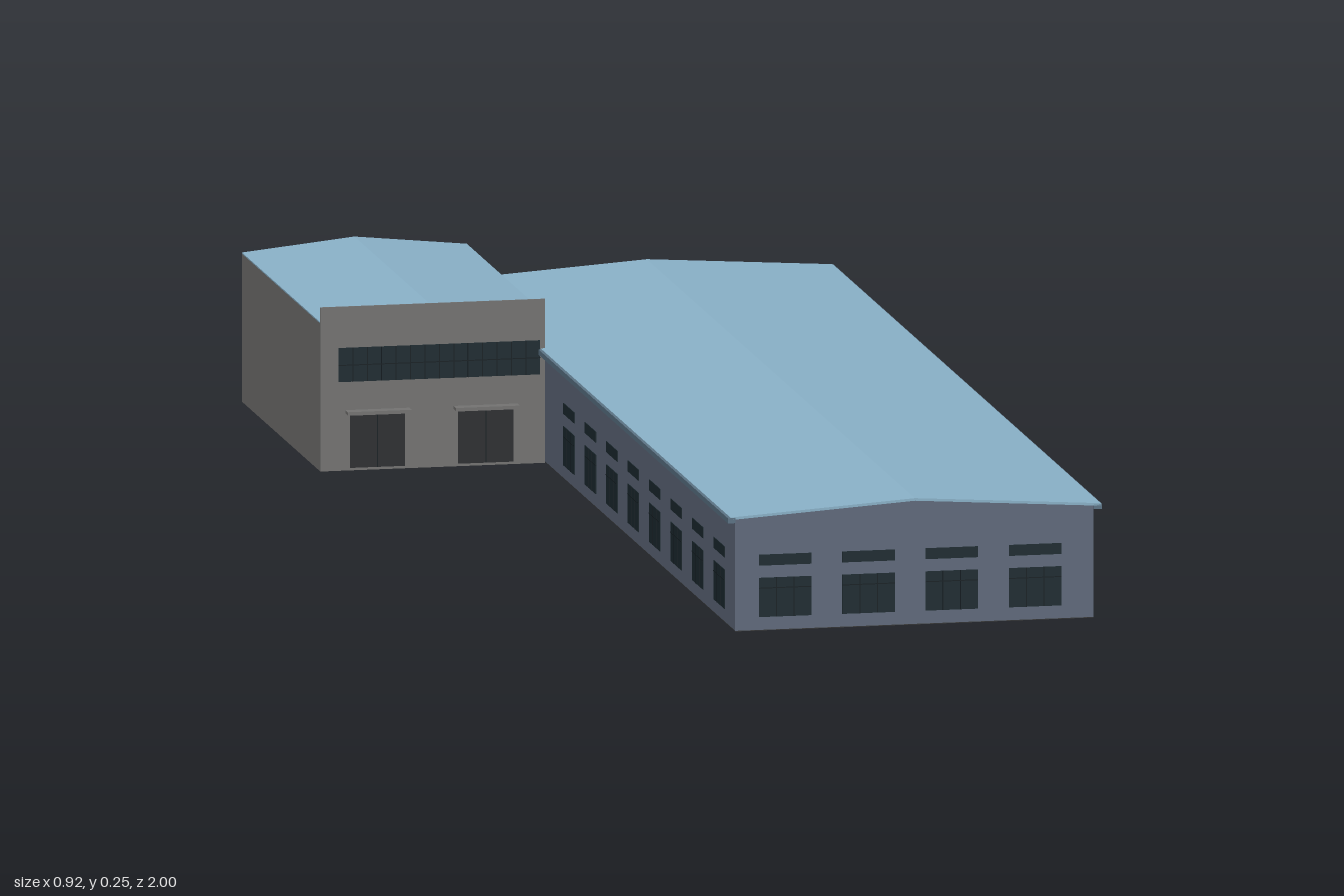
import * as THREE from 'three';

const mat = (color, side = THREE.FrontSide) =>
  new THREE.MeshStandardMaterial({ color, side, flatShading: true });

export function createModel() {
  const model = new THREE.Group();
  const hallWall = mat(0x606a7c), roofBlue = mat(0x8bb3ca, THREE.DoubleSide);
  const plaster = mat(0x757473, THREE.DoubleSide), glass = mat(0x1c2a30);
  const frame = mat(0x141d22), doorDark = mat(0x2c2e30), gutterGrey = mat(0x5c7486);
  const floorDark = mat(0x3c3c3c);

  const add = (parent, name, geometry, material) => {
    const mesh = new THREE.Mesh(geometry, material);
    mesh.name = name;
    parent.add(mesh);
    return mesh;
  };
  // Box given by its low and high corners
  const box = (parent, name, material, x0, x1, y0, y1, z0, z1) => {
    const mesh = add(parent, name, new THREE.BoxGeometry(x1 - x0, y1 - y0, z1 - z0), material);
    mesh.position.set((x0 + x1) / 2, (y0 + y1) / 2, (z0 + z1) / 2);
    return mesh;
  };
  // Profile in x and y, extruded along z
  const prism = (parent, name, material, points, z0, z1) => {
    const shape = new THREE.Shape(points.map(([x, y]) => new THREE.Vector2(x, y)));
    const geometry = new THREE.ExtrudeGeometry(shape, { depth: z1 - z0, bevelEnabled: false });
    return add(parent, name, geometry.translate(0, 0, z0), material);
  };
  const group = (name) => {
    const g = new THREE.Group();
    g.name = name;
    model.add(g);
    return g;
  };

  // Long hall with a shallow gable
  const L = -0.11, R = 0.449, ridge = 0.17, end = 0.997;
  const hall = group('hall');
  prism(hall, 'hallWalls', hallWall,
    [[L, 0.001], [R, 0.001], [R, 0.174], [ridge, 0.193], [L, 0.174]], -end, end);
  box(hall, 'hallFloor', floorDark, L, R, 0, 0.001, -end, end);
  prism(hall, 'hallRoof', roofBlue,
    [[-0.118, 0.174], [ridge, 0.193], [0.46, 0.174], [0.46, 0.178], [ridge, 0.197], [-0.118, 0.178]], -1, 1);
  box(hall, 'leftGutter', gutterGrey, R, 0.462, 0.169, 0.177, -1, 1);
  box(hall, 'rightGutter', gutterGrey, -0.122, L, 0.169, 0.177, -0.415, 1);

  // Hall window: upper strip and lower pane with bars, facing local +z
  const hallWindow = (x, z, turn) => {
    const w = group('hallWindow');
    const h = 0.041;
    box(w, 'upperPane', glass, -h, h, 0.101, 0.118, -0.003, 0.001);
    box(w, 'lowerPane', glass, -h, h, 0.021, 0.082, -0.003, 0.001);
    for (const bx of [-0.0137, 0.0137])
      box(w, 'upright', frame, bx - 0.0007, bx + 0.0007, 0.021, 0.082, 0, 0.0016);
    box(w, 'crossbar', frame, -h, h, 0.0653, 0.0667, 0, 0.0016);
    w.position.set(x, 0, z);
    w.rotation.y = turn;
  };
  for (let i = 0; i < 4; i++) {
    const x = -0.032 + i * 0.13;
    hallWindow(x, end, 0);
    hallWindow(x, -end, Math.PI);
  }
  for (let i = 0; i < 12; i++) {
    const z = 0.88 - i * 0.16;
    hallWindow(R, z, Math.PI / 2);
    if (z > -0.4) hallWindow(L, z, -Math.PI / 2);
  }

  // Annex: thin walls, open underneath, with a tall front wall
  const A = -0.462, B = -0.111, mid = (A + B) / 2, front = -0.415, t = 0.002;
  const eave = 0.23, top = 0.25;
  const annex = group('annex');
  box(annex, 'annexFrontWall', plaster, A, B, 0, 0.255, front - t, front);
  box(annex, 'annexRightWall', plaster, A, A + t, 0, eave, -1, front - t);
  box(annex, 'annexLeftWall', plaster, B - t, B, 0, eave, -1, front - t);
  prism(annex, 'annexBackWall', plaster,
    [[A, 0], [B, 0], [B, eave], [mid, top - 0.002], [A, eave]], -1, -1 + t);
  prism(annex, 'annexRoof', roofBlue,
    [[A, eave], [mid, top - 0.002], [B, eave], [B, eave + 0.002], [mid, top], [A, eave + 0.002]], -1, front - t);

  // Window band, running through the front wall
  const w0 = -0.434, w1 = -0.119, panes = 14;
  box(annex, 'windowBand', glass, w0, w1, 0.138, 0.191, front - 0.003, front + 0.001);
  for (let i = 1; i < panes; i++) {
    const x = w0 + (w1 - w0) * i / panes;
    box(annex, 'bandUpright', frame, x - 0.0007, x + 0.0007, 0.138, 0.191, front, front + 0.0016);
  }
  box(annex, 'bandCrossbar', frame, w0, w1, 0.1633, 0.1647, front, front + 0.0016);

  // Double doors with canopies
  for (const x of [-0.373, -0.204]) {
    box(annex, 'door', doorDark, x - 0.043, x + 0.043, 0.004, 0.085, front - 0.003, front + 0.001);
    box(annex, 'doorSeam', frame, x - 0.0008, x + 0.0008, 0.004, 0.085, front, front + 0.0016);
    box(annex, 'canopy', plaster, x - 0.05, x + 0.05, 0.089, 0.094, front, front + 0.018);
  }
  return model;
}
